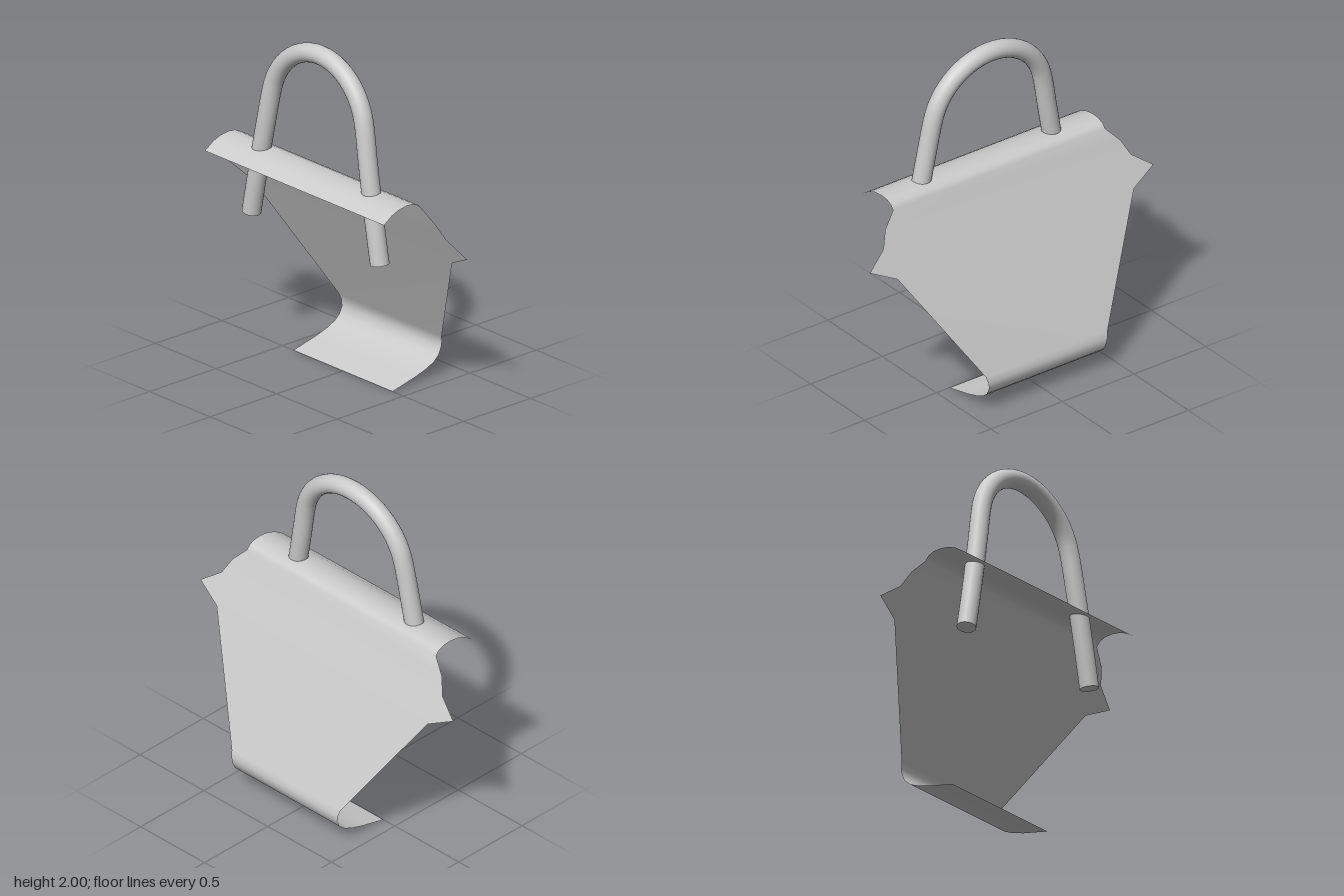
import * as THREE from 'three';

const material = new THREE.MeshStandardMaterial({ color: 0xcccccc });
const sheetMaterial = new THREE.MeshStandardMaterial({ color: 0xcccccc, side: THREE.DoubleSide });

// Thin bent sheet: each row is [z, y, half width], from the top lip to the bottom lip
function createSheet() {
  const rows = [
    // rolled top lip
    [0.365, 1.2, 0.74], [0.305, 1.24, 0.74], [0.25, 1.262, 0.74], [0.19, 1.27, 0.74],
    [0.14, 1.265, 0.74], [0.105, 1.25, 0.74], [0.083, 1.225, 0.74],
    // sloping back with pointed sides
    [0.05, 1.14, 0.82], [0.008, 1.05, 0.865], [-0.033, 0.96, 0.99], [-0.07, 0.88, 0.825],
    [-0.355, 0.24, 0.425],
    // bottom curl
    [-0.367, 0.2, 0.415], [-0.365, 0.165, 0.41], [-0.347, 0.125, 0.41], [-0.31, 0.092, 0.41],
    [-0.25, 0.065, 0.41], [-0.17, 0.04, 0.41], [-0.085, 0.02, 0.41], [0, 0, 0.41],
  ];
  const positions = [];
  const index = [];
  rows.forEach(([z, y, w], i) => {
    positions.push(-w, y, z, w, y, z);
    if (i > 0) {
      const a = 2 * i - 2;
      index.push(a, a + 2, a + 1, a + 1, a + 2, a + 3);
    }
  });
  const geometry = new THREE.BufferGeometry();
  geometry.setAttribute('position', new THREE.Float32BufferAttribute(positions, 3));
  geometry.setIndex(index);
  geometry.computeVertexNormals();
  const mesh = new THREE.Mesh(geometry, sheetMaterial);
  mesh.name = 'bentSheet';
  return mesh;
}

// Arched round bar with splayed legs, leaning back slightly towards the top
function createHandle() {
  const group = new THREE.Group();
  group.name = 'handle';
  const radius = 0.055, arcRadius = 0.39, arcY = 1.555, tilt = 0.188;
  const depth = (y) => 0.205 - 0.037 * ((y - 0.857) / 1.09) ** 2;
  const points = [];
  const add = (x, y) => points.push(new THREE.Vector3(x, y, depth(y)));

  const legs = [[0.53, 0.857], [0.493, 1.05], [0.456, 1.245], [0.419, 1.44]];
  legs.forEach(([x, y]) => add(-x, y));
  const steps = 14;
  for (let i = 0; i <= steps; i++) {
    const a = Math.PI - tilt - (i / steps) * (Math.PI - 2 * tilt);
    add(Math.cos(a) * arcRadius, arcY + Math.sin(a) * arcRadius);
  }
  legs.reverse().forEach(([x, y]) => add(x, y));

  const curve = new THREE.CatmullRomCurve3(points);
  const bar = new THREE.Mesh(new THREE.TubeGeometry(curve, 64, radius, 24), material);
  bar.name = 'handleBar';
  group.add(bar);

  // flat ends of the bar
  for (const t of [0, 1]) {
    const cap = new THREE.Mesh(new THREE.CircleGeometry(radius, 24), material);
    const outward = curve.getTangentAt(t).multiplyScalar(t === 0 ? -1 : 1);
    cap.position.copy(curve.getPointAt(t));
    cap.quaternion.setFromUnitVectors(new THREE.Vector3(0, 0, 1), outward);
    cap.name = t === 0 ? 'rightHandleEnd' : 'leftHandleEnd';
    group.add(cap);
  }
  return group;
}

export function createModel() {
  const model = new THREE.Group();
  model.name = 'handledSheet';
  model.add(createSheet(), createHandle());
  return model;
}
